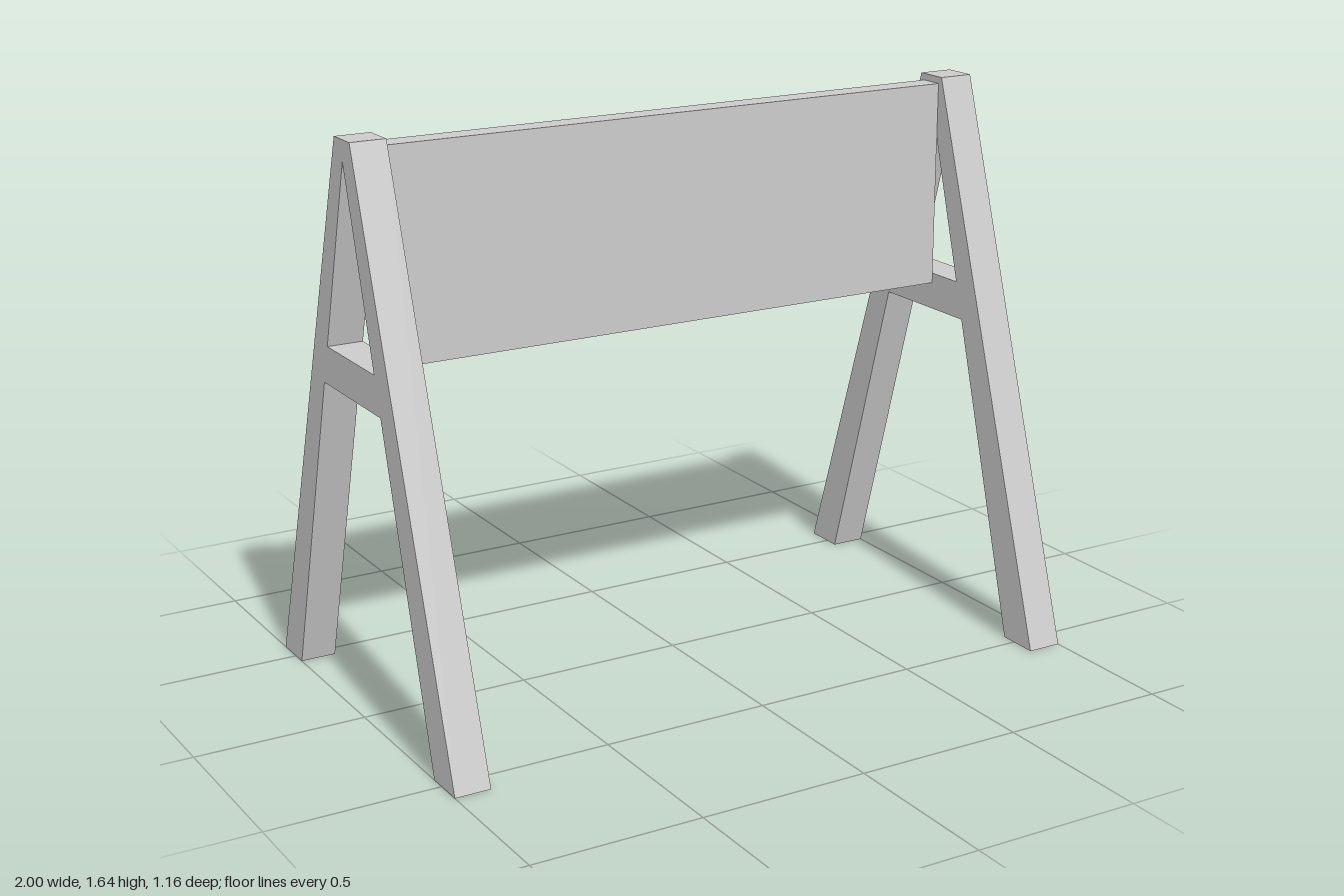
import * as THREE from 'three';

const THICK = 0.105; // timber width along x
const FOOT = 0.455, APEX = 1.58; // inner line of the A-frame

// Half width of the opening at height y
const inner = (y) => FOOT * (1 - y / APEX);

// Cut a (z, y) outline into a timber of the given thickness, centred on x = 0
function timber(points, material, name) {
  const shape = new THREE.Shape(points.map(([z, y]) => new THREE.Vector2(z, y)));
  const geometry = new THREE.ExtrudeGeometry(shape, { depth: THICK, bevelEnabled: false });
  geometry.translate(0, 0, -THICK / 2);
  geometry.rotateY(Math.PI / 2);
  const mesh = new THREE.Mesh(geometry, material);
  mesh.name = name;
  return mesh;
}

export function createModel() {
  const material = new THREE.MeshStandardMaterial({ color: 0xcccccc, flatShading: true });
  const model = new THREE.Group();
  model.name = 'barrier';

  // Two A-frame trestles, each with a cross brace flush between its legs
  const low = 0.93, high = 1.04;
  for (const [side, name] of [[1, 'leftTrestle'], [-1, 'rightTrestle']]) {
    const trestle = new THREE.Group();
    trestle.name = name;
    trestle.add(
      timber([[-0.58, 0], [-FOOT, 0], [0, APEX], [FOOT, 0], [0.58, 0], [0.05, 1.64], [-0.05, 1.64]], material, 'legs'),
      timber([[-inner(low), low], [inner(low), low], [inner(high), high], [-inner(high), high]], material, 'crossBrace'),
    );
    trestle.position.x = side * (1 - THICK / 2);
    model.add(trestle);
  }

  // Wide board spanning between the trestles
  const board = new THREE.Mesh(new THREE.BoxGeometry(2 - 2 * THICK, 0.61, 0.072), material);
  board.name = 'board';
  board.position.y = 1.315;
  model.add(board);

  return model;
}
